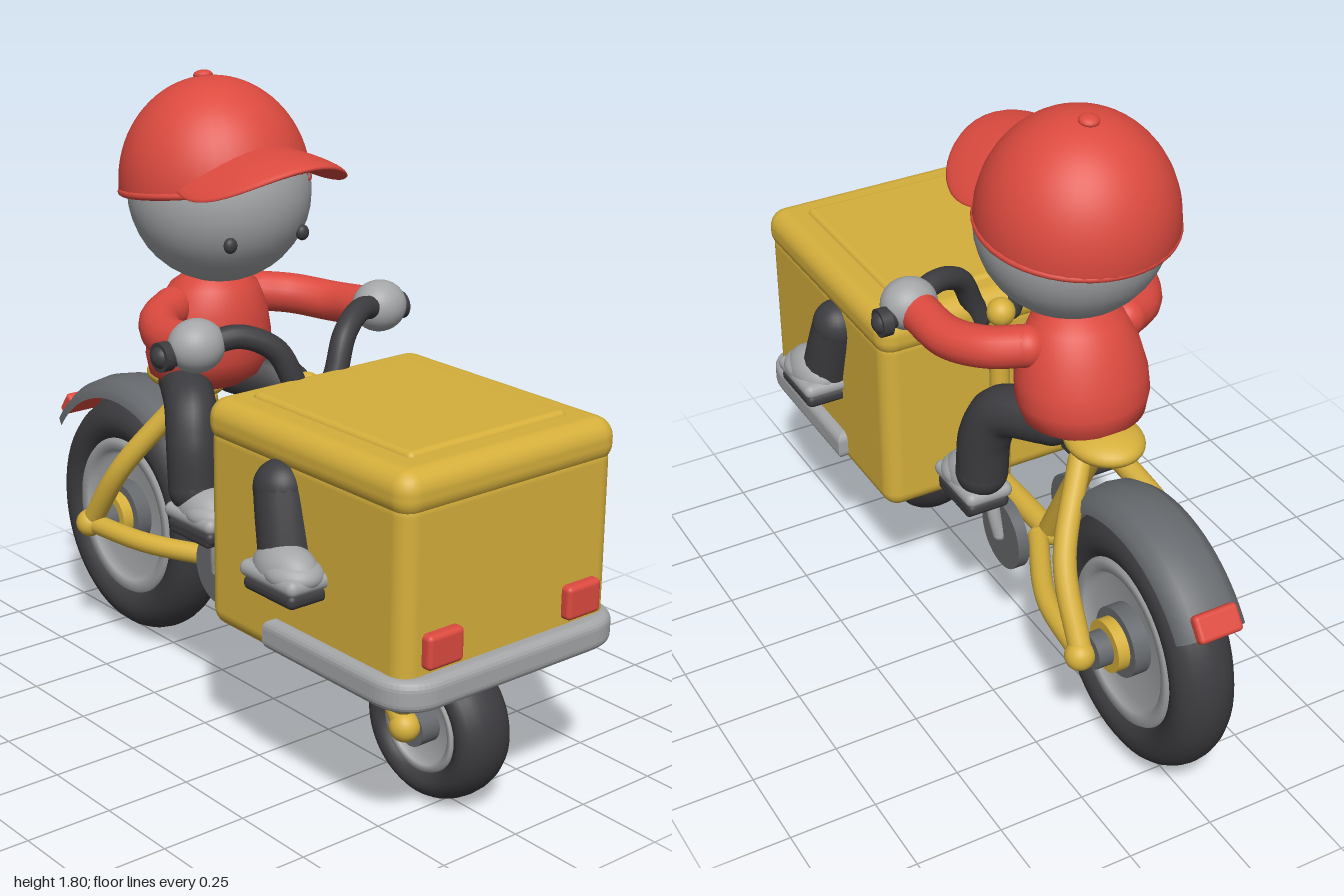
import * as THREE from 'three';
import { RoundedBoxGeometry } from 'three/addons/geometries/RoundedBoxGeometry.js';

const paint = (name, color) => {
  const m = new THREE.MeshStandardMaterial({ color });
  m.name = name;
  return m;
};

export function createModel() {
  const yellow = paint('yellow', 0xd6b03c);
  const red = paint('red', 0xdc4a3f);
  const light = paint('light grey', 0xa4a6a8);
  const mid = paint('mid grey', 0x66696d);
  const dark = paint('charcoal', 0x3c3b3f);
  mid.side = THREE.DoubleSide;
  red.side = THREE.DoubleSide;

  const model = new THREE.Group();
  model.name = 'cargoBikeWithRider';
  const V = (p) => new THREE.Vector3(...p);

  function add(name, geo, mat, pos = [0, 0, 0], parent = model) {
    const m = new THREE.Mesh(geo, mat);
    m.name = name;
    m.position.set(...pos);
    parent.add(m);
    return m;
  }
  function ball(name, mat, pos, rx, ry = rx, rz = rx) {
    const g = new THREE.SphereGeometry(1, 32, 20);
    g.scale(rx, ry, rz);
    return add(name, g, mat, pos);
  }
  // rounded-end tube through a few points
  function pipe(name, mat, pts, r) {
    const curve = new THREE.CatmullRomCurve3(pts.map(V));
    add(name, new THREE.TubeGeometry(curve, pts.length * 8, r, 16), mat);
    ball(name + 'End', mat, pts[0], r);
    ball(name + 'End', mat, pts[pts.length - 1], r);
  }
  // cylinder along z
  function disc(name, mat, pos, r, depth) {
    const g = new THREE.CylinderGeometry(r, r, depth, 40);
    g.rotateX(Math.PI / 2);
    return add(name, g, mat, pos);
  }
  const box = (name, mat, size, radius, pos) =>
    add(name, new RoundedBoxGeometry(...size, 4, radius), mat, pos);
  function lathe(pts, start = 0, length = Math.PI * 2) {
    const g = new THREE.LatheGeometry(pts.map((p) => new THREE.Vector2(...p)), 56, start, length);
    return g;
  }

  // wheels
  function wheel(name, x, y, r, tube, halfWidth, sx) {
    const g = new THREE.Group();
    g.name = name;
    g.position.set(x, y, 0);
    g.scale.x = sx;
    model.add(g);
    const tyre = new THREE.TorusGeometry(r - tube, tube, 20, 56);
    tyre.scale(1, 1, halfWidth / tube);
    add('tyre', tyre, dark, [0, 0, 0], g);
    const ri = r - 1.75 * tube, w = halfWidth;
    const rim = lathe([[0, -w * 0.45], [ri * 0.8, -w * 0.45], [ri * 0.86, -w * 0.8], [ri, -w * 0.85],
      [ri * 1.06, -w * 0.6], [ri * 1.06, w * 0.6], [ri, w * 0.85], [ri * 0.86, w * 0.8],
      [ri * 0.8, w * 0.45], [0, w * 0.45]]);
    rim.rotateX(Math.PI / 2);
    add('rim', rim, light, [0, 0, 0], g);
  }
  wheel('rearWheel', -0.647, 0.4, 0.37, 0.075, 0.09, 0.955);
  wheel('frontWheel', 0.7, 0.22, 0.213, 0.05, 0.088, 1.02);
  disc('rearHub', mid, [-0.647, 0.41, 0], 0.1, 0.18);
  disc('rearHubRing', yellow, [-0.647, 0.41, 0], 0.075, 0.25);
  disc('rearAxle', mid, [-0.647, 0.41, 0], 0.05, 0.34);
  disc('frontHub', mid, [0.7, 0.22, 0], 0.05, 0.2);

  // rear mudguard with lamp
  const guard = lathe([[0.365, -0.1], [0.395, -0.092], [0.415, -0.06], [0.423, 0],
    [0.415, 0.06], [0.395, 0.092], [0.365, 0.1]],
    THREE.MathUtils.degToRad(150), THREE.MathUtils.degToRad(85));
  guard.rotateX(Math.PI / 2);
  add('mudguard', guard, mid, [-0.647, 0.41, 0]);
  box('rearLamp', red, [0.035, 0.075, 0.13], 0.012, [-0.975, 0.675, 0]).rotation.z = -0.62;

  // frame
  pipe('seatTube', yellow, [[-0.38, 0.86, 0], [-0.26, 0.64, 0], [-0.14, 0.42, 0]], 0.035);
  pipe('bottomTube', yellow, [[-0.15, 0.415, 0], [0.2, 0.41, 0], [0.58, 0.4, 0]], 0.035);
  pipe('frontColumn', yellow, [[0.155, 0.41, 0], [0.155, 0.7, 0], [0.155, 1.0, 0]], 0.03);
  ball('columnCap', yellow, [0.145, 1.0, 0], 0.042);
  pipe('brace', yellow, [[0.48, 0.32, 0], [0.5, 0.36, 0], [0.53, 0.41, 0]], 0.018);
  pipe('forkCrown', yellow, [[0.57, 0.41, -0.11], [0.57, 0.42, 0], [0.57, 0.41, 0.11]], 0.04);
  ball('saddle', yellow, [-0.42, 0.905, 0], 0.125, 0.047, 0.105);
  ball('saddleNose', yellow, [-0.34, 0.9, 0], 0.09, 0.04, 0.05);

  // paired bike parts and limbs
  function shoe(x, y, z) {
    const upper = new THREE.SphereGeometry(1, 28, 10, 0, Math.PI * 2, 0, Math.PI / 2);
    upper.scale(0.105, 0.07, 0.07);
    add('shoeUpper', upper, light, [x, y, z]);
    ball('shoeToe', light, [x + 0.03, y, z], 0.085, 0.045, 0.075);
    box('shoeWelt', light, [0.22, 0.045, 0.145], 0.022, [x, y - 0.012, z]);
    box('shoeSole', dark, [0.2, 0.04, 0.13], 0.018, [x, y - 0.05, z]);
  }
  for (const s of [1, -1]) {
    pipe('chainStay', yellow, [[-0.645, 0.41, 0.195 * s], [-0.4, 0.41, 0.16 * s], [-0.14, 0.41, 0.04 * s]], 0.03);
    pipe('seatStay', yellow, [[-0.645, 0.41, 0.195 * s], [-0.51, 0.62, 0.17 * s], [-0.38, 0.83, 0.05 * s]], 0.032);
    ball('dropout', yellow, [-0.645, 0.41, 0.2 * s], 0.042);
    pipe('forkLeg', yellow, [[0.56, 0.42, 0.105 * s], [0.63, 0.34, 0.12 * s], [0.7, 0.235, 0.12 * s]], 0.034);
    ball('forkEnd', yellow, [0.703, 0.235, 0.122 * s], 0.042);

    disc('crankDisc', mid, [-0.085, 0.42, 0.115 * s], 0.108, 0.035);
    pipe('crankArm', light, [[-0.085, 0.42, 0.135 * s], [-0.075, 0.48, 0.145 * s], [-0.06, 0.56, 0.15 * s]], 0.02);
    box('pedal', dark, [0.18, 0.03, 0.13], 0.012, [-0.05, 0.568, 0.2 * s]);

    pipe('leg', dark, [[-0.3, 0.93, 0.09 * s], [-0.16, 0.895, 0.17 * s],
      [-0.12, 0.81, 0.195 * s], [-0.105, 0.68, 0.2 * s]], 0.074);
    shoe(-0.052, 0.63, 0.2 * s);

    // second pair of legs on the sides of the cargo box
    pipe('sideLeg', dark, [[0.48, 0.89, 0.355 * s], [0.5, 0.82, 0.365 * s], [0.525, 0.73, 0.375 * s]], 0.074);
    shoe(0.56, 0.705, 0.405 * s);

    pipe('sleeve', red, [[-0.27, 1.16, 0.15 * s], [-0.21, 1.15, 0.235 * s],
      [-0.1, 1.14, 0.295 * s], [0.03, 1.15, 0.31 * s]], 0.058);
    ball('hand', light, [0.075, 1.16, 0.32 * s], 0.073, 0.073, 0.08);
    pipe('handlebar', dark, [[0.05, 1.14, 0.41 * s], [0.08, 1.155, 0.32 * s], [0.12, 1.175, 0.21 * s],
      [0.16, 1.13, 0.12 * s], [0.18, 1.04, 0.075 * s], [0.18, 0.98, 0.05 * s]], 0.033);
    disc('gripEnd', dark, [0.05, 1.14, 0.41 * s], 0.04, 0.03);

    box('boxLamp', red, [0.04, 0.093, 0.118], 0.014, [0.962, 0.588, 0.24 * s]);
    ball('eye', dark, [-0.03, 1.38, 0.125 * s], 0.016, 0.022, 0.02);
  }

  // cargo box
  box('cargoBox', yellow, [0.785, 0.58, 0.72], 0.05, [0.56, 0.7, 0]);
  box('cargoLid', yellow, [0.8, 0.125, 0.735], 0.055, [0.56, 0.99, 0]);
  box('lidPanel', yellow, [0.62, 0.04, 0.54], 0.018, [0.555, 1.045, 0]);

  // bumper wrapped round the front of the box
  const plan = new THREE.Shape();
  plan.moveTo(0.47, -0.365);
  plan.lineTo(0.87, -0.365);
  plan.quadraticCurveTo(0.97, -0.365, 0.97, -0.265);
  plan.lineTo(0.97, 0.265);
  plan.quadraticCurveTo(0.97, 0.365, 0.87, 0.365);
  plan.lineTo(0.47, 0.365);
  plan.closePath();
  const bumper = new THREE.ExtrudeGeometry(plan, {
    depth: 0.035, bevelThickness: 0.026, bevelSize: 0.026, bevelSegments: 5, curveSegments: 12 });
  bumper.rotateX(-Math.PI / 2);
  add('bumper', bumper, light, [0, 0.463, 0]);

  // rider's torso and head
  const torso = lathe([[0, 0.905], [0.11, 0.91], [0.158, 0.945], [0.172, 1.0], [0.17, 1.06],
    [0.152, 1.14], [0.12, 1.21], [0.07, 1.25], [0, 1.26]]);
  torso.scale(0.97, 1, 1.08);
  const tp = torso.attributes.position;
  for (let i = 0; i < tp.count; i++) tp.setX(i, tp.getX(i) + (tp.getY(i) - 1) * 0.15);
  torso.computeVertexNormals();
  add('torso', torso, red, [-0.305, 0, 0]);
  ball('head', light, [-0.243, 1.482, 0], 0.257, 0.257, 0.259);

  // cap: dome, rim, button and arched visor
  const cap = new THREE.Group();
  cap.name = 'cap';
  cap.position.set(-0.265, 1.5, 0);
  cap.rotation.z = 0.12;
  model.add(cap);
  const dome = new THREE.SphereGeometry(1, 40, 20, 0, Math.PI * 2, 0, Math.PI * 0.51);
  dome.scale(0.272, 0.296, 0.268);
  add('capDome', dome, red, [0, 0, 0], cap);
  const rim = new THREE.TorusGeometry(0.262, 0.011, 10, 48);
  rim.rotateX(Math.PI / 2);
  add('capRim', rim, red, [0, -0.005, 0], cap);
  const button = new THREE.SphereGeometry(0.028, 16, 10);
  button.scale(1, 0.5, 1);
  add('capButton', button, red, [-0.015, 0.297, 0], cap);

  const visor = new THREE.SphereGeometry(1, 48, 20);
  visor.scale(0.235, 0.028, 0.24);
  const vp = visor.attributes.position;
  for (let i = 0; i < vp.count; i++) vp.setY(i, vp.getY(i) - 1.6 * vp.getZ(i) ** 2);
  visor.computeVertexNormals();
  add('capVisor', visor, red, [-0.06, 1.607, 0]);

  return model;
}
